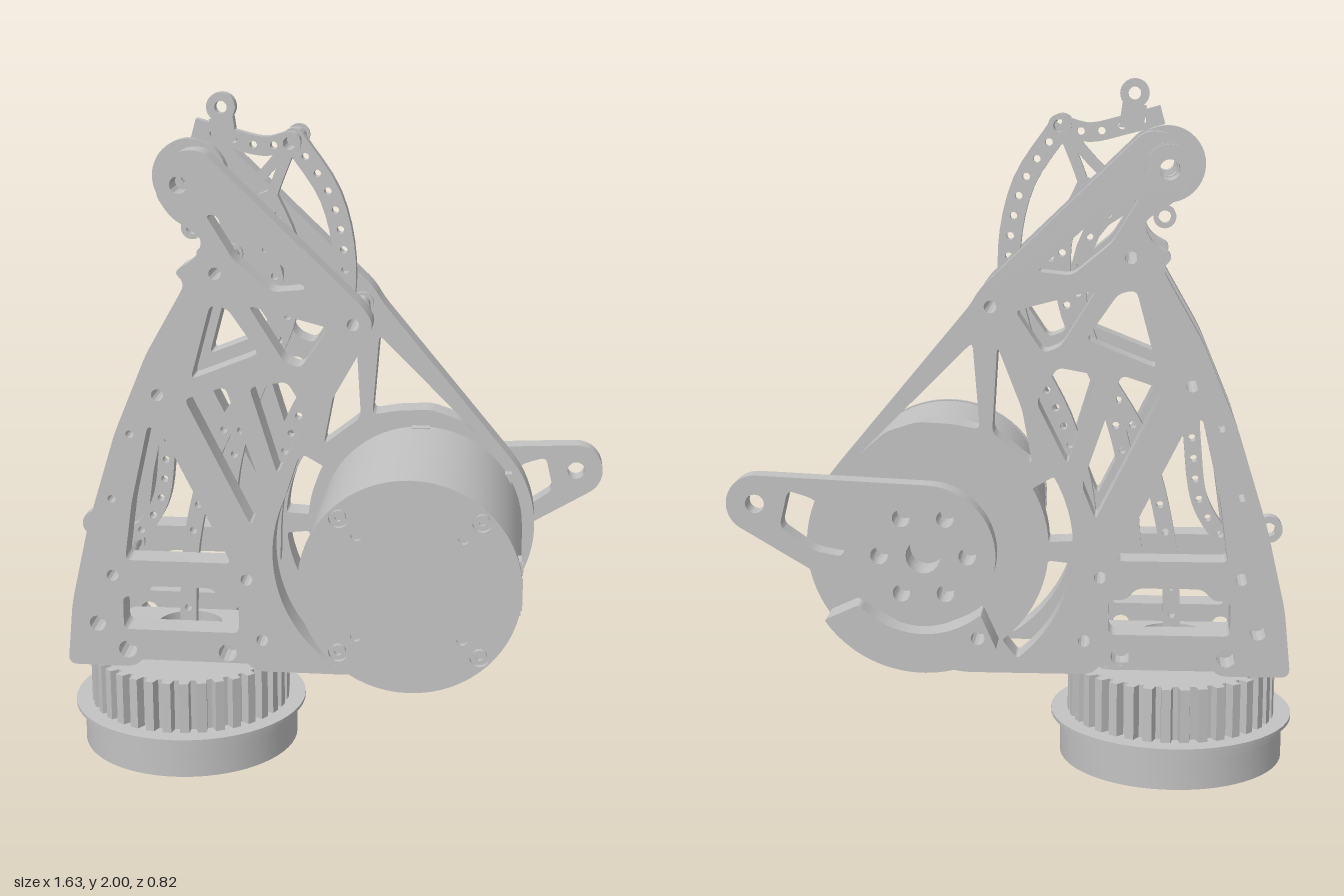
import * as THREE from 'three';
import { toCreasedNormals } from 'three/addons/utils/BufferGeometryUtils.js';

const metal = new THREE.MeshStandardMaterial({ color: 0xc2c2c2 });
metal.name = 'machined grey';
const V = (x, y) => new THREE.Vector2(x, y);
const rad = Math.PI / 180;

// Points along an arc, angles in degrees
function arc(cx, cy, r, a0, a1, n = 14) {
  return Array.from({ length: n + 1 }, (_, i) => {
    const a = (a0 + (a1 - a0) * i / n) * rad;
    return [cx + r * Math.cos(a), cy + r * Math.sin(a)];
  });
}
const arcSlot = (cx, cy, r1, r2, a0, a1) => [...arc(cx, cy, r2, a0, a1), ...arc(cx, cy, r1, a1, a0)];

// Closed polygon with rounded corners, always counter-clockwise
function rounded(pts, r = 0.02, path = new THREE.Path()) {
  const n = pts.length, p = pts.map(q => V(...q));
  if (THREE.ShapeUtils.isClockWise(p)) p.reverse();
  p.forEach((c, i) => {
    const a = p[(i + n - 1) % n], b = p[(i + 1) % n];
    const toward = q => c.clone().add(q.clone().sub(c).setLength(Math.min(r, q.distanceTo(c) * 0.45)));
    const s = toward(a), e = toward(b);
    if (i) path.lineTo(s.x, s.y); else path.moveTo(s.x, s.y);
    path.quadraticCurveTo(c.x, c.y, e.x, e.y);
  });
  path.closePath();
  return path;
}
const outline = (pts, r) => rounded(pts, r, new THREE.Shape());
const circle = (x, y, r, Type = THREE.Path) => new Type().absarc(x, y, r, 0, Math.PI * 2);

function slabGeometry(shape, z0, z1, holes = [], seg = 6) {
  shape.holes.push(...holes);
  const g = new THREE.ExtrudeGeometry(shape, { depth: z1 - z0, bevelEnabled: false, curveSegments: seg });
  return toCreasedNormals(g.translate(0, 0, z0), 0.5);
}

export function createModel() {
  const model = new THREE.Group();
  model.name = 'actuatorAssembly';
  const add = (name, geo, parent = model) => {
    const m = new THREE.Mesh(geo, metal);
    m.name = name;
    parent.add(m);
  };
  const slab = (name, shape, z0, z1, holes, seg) => add(name, slabGeometry(shape, z0, z1, holes, seg));
  const ring = (name, x, y, r, inner, z0, z1, seg = 14) =>
    slab(name, circle(x, y, r, THREE.Shape), z0, z1, inner ? [circle(x, y, inner)] : [], seg);

  const MX = 0.253, MY = 0.675;
  const pins = [[-0.5, 1.15], [-0.325, 1.51], [0.07, 1.37], [-0.65, 0.59], [-0.245, 0.59], [-0.2, 0.4]];

  // Side plates share the curved left edge, the hooked top and the truss windows
  const leftEdge = [
    [-0.22, 0.30], [-0.25, 0.33], [-0.56, 0.33], [-0.59, 0.30], [-0.795, 0.30], [-0.775, 0.5],
    [-0.72, 0.74], [-0.63, 1.03], [-0.53, 1.27], [-0.41, 1.48], [-0.445, 1.515], [-0.38, 1.55],
    [-0.355, 1.61], [-0.45, 1.67], [-0.495, 1.74], [-0.43, 1.855], [-0.36, 1.86], [0.10, 1.42]];
  const windows = [
    [[-0.35, 1.68], [-0.28, 1.67], [-0.06, 1.47], [-0.16, 1.46], [-0.27, 1.55]],
    [[-0.34, 1.42], [-0.29, 1.41], [-0.20, 1.28], [-0.40, 1.20]],
    [[-0.23, 1.42], [0.0, 1.36], [-0.08, 1.24], [-0.13, 1.26]],
    [[-0.53, 1.06], [-0.48, 1.02], [-0.29, 0.64], [-0.61, 0.64], [-0.585, 0.82]],
    [[-0.42, 1.14], [-0.30, 1.18], [-0.19, 0.86], [-0.23, 0.76]],
    [[-0.23, 1.18], [-0.12, 1.20], [-0.06, 1.10], [-0.15, 0.92]],
    [[-0.62, 0.525], [-0.57, 0.525], [-0.54, 0.56], [-0.35, 0.56], [-0.32, 0.525], [-0.27, 0.525],
      [-0.27, 0.42], [-0.62, 0.42]]];
  const boltHoles = [[-0.7, 0.435, 0.025], [-0.61, 0.355, 0.028], [-0.305, 0.355, 0.028], [-0.425, 1.76, 0.025],
    [-0.585, 1.03, 0.012], [-0.645, 0.83, 0.012], ...pins.map(p => [...p, 0.018])];
  const plateHoles = () => [...windows.map(w => rounded(w)), ...boltHoles.map(h => circle(...h))];

  slab('frontPlate', outline([...leftEdge, [0.13, 1.37], [0.10, 1.31], [-0.09, 0.97],
    ...arc(MX, MY, 0.42, 155, 238), [0.08, 0.325], [0.07, 0.30]], 0.03), 0.07, 0.16, plateHoles());
  slab('backPlate', outline([...leftEdge, [0.13, 1.37], [0.52, 0.90],
    ...arc(MX, MY, 0.35, 32, -85, 24), [0.20, 0.31], [0.15, 0.30]], 0.03), -0.26, -0.17, [
    ...plateHoles(),
    rounded([[0.12, 1.27], [0.10, 1.02], [0.18, 1.035], [0.28, 1.04], [0.37, 1.01], [0.45, 0.94]]),
    rounded([[0.05, 1.26], [0.065, 1.01], [-0.05, 0.92], [-0.02, 1.08]]),
    rounded(arcSlot(MX, MY, 0.35, 0.42, 150, 177), 0.01),
    rounded(arcSlot(MX, MY, 0.35, 0.42, 186, 232), 0.01)]);

  // Flanged spacers between the plates
  const spacer = (name, x, y, z0, z1) => {
    ring(name, x, y, 0.024, 0.018, z0, z1);
    for (const z of [z0, -0.062, z1 - 0.015]) ring(name + 'Collar', x, y, 0.033, 0.018, z, z + (z === -0.062 ? 0.04 : 0.015));
  };
  pins.forEach(p => spacer('spacer', ...p, -0.17, 0.07));
  spacer('topSpacer', -0.12, 1.87, -0.165, 0.075);

  // Curved centre linkage made of perforated strips
  const C0 = -0.062, C1 = -0.022;
  const strip = (name, pts, width, holes = 0) => {
    const curve = new THREE.CatmullRomCurve3(pts.map(p => new THREE.Vector3(p[0], p[1], 0)));
    const sides = [[], []];
    for (let i = 0; i <= 28; i++) {
      const p = curve.getPointAt(i / 28), t = curve.getTangentAt(i / 28);
      [1, -1].forEach((s, k) => sides[k].push(V(p.x - s * t.y * width / 2, p.y + s * t.x * width / 2)));
    }
    const cut = Array.from({ length: holes }, (_, i) => {
      const p = curve.getPointAt((i + 1) / (holes + 1));
      return circle(p.x, p.y, 0.011);
    });
    slab(name, new THREE.Shape([...sides[1], ...sides[0].reverse()]), C0, C1, cut);
  };
  strip('outerSector', [[-0.12, 1.87], [-0.01, 1.7], [0.03, 1.48], [-0.01, 1.25], [-0.13, 1.0], [-0.19, 0.78],
    [-0.20, 0.59]], 0.065, 22);
  strip('innerSector', [[-0.33, 1.66], [-0.22, 1.58], [-0.17, 1.4], [-0.22, 1.2], [-0.36, 0.95], [-0.44, 0.65],
    [-0.46, 0.34]], 0.05, 16);
  strip('middleSector', [[-0.2, 1.72], [-0.13, 1.55], [-0.14, 1.35], [-0.25, 1.1], [-0.31, 0.9], [-0.34, 0.62]], 0.05, 14);
  strip('lowerLink', [[-0.71, 0.69], [-0.62, 0.66], [-0.54, 0.76], [-0.51, 0.95], [-0.5, 1.15]], 0.05, 9);
  strip('topLink', [[-0.41, 1.90], [-0.30, 1.87], [-0.2, 1.85], [-0.12, 1.87]], 0.055, 4);
  strip('topSpoke', [[-0.12, 1.87], [-0.25, 1.73], [-0.36, 1.66]], 0.03);
  strip('sectorSpoke', [[-0.12, 1.87], [-0.18, 1.72], [-0.22, 1.58]], 0.03);
  strip('topLugNeck', [[-0.33, 1.93], [-0.32, 1.86]], 0.07);
  ring('topLug', -0.33, 1.96, 0.042, 0.018, C0, C1);
  ring('sideLug', -0.74, 0.69, 0.04, 0.02, C0, C1);
  ring('hookLug', -0.42, 1.61, 0.033, 0.018, C0, C1);
  ring('pivotDisc', -0.425, 1.76, 0.11, 0.025, C0, C1, 20);

  // Stub roller on the back of the top pivot
  ring('rollerCore', -0.425, 1.76, 0.062, 0.028, -0.40, -0.26);
  ring('rollerOuterCollar', -0.425, 1.76, 0.068, 0.028, -0.414, -0.385);
  ring('rollerInnerCollar', -0.425, 1.76, 0.068, 0.028, -0.295, -0.27);

  // Motor with face plate, screws and side connector
  ring('motorBody', MX, MY, 0.312, 0, -0.17, 0.395, 32);
  const screws = [], small = [];
  for (const sx of [-1, 1]) for (const sy of [-1, 1]) {
    screws.push([MX + sx * 0.2, MY + sy * 0.2]);
    small.push([MX + sx * 0.15, MY + sy * 0.15]);
  }
  slab('motorFace', circle(MX, MY, 0.316, THREE.Shape), 0.395, 0.41,
    [...screws.map(p => circle(...p, 0.028)), ...small.map(p => circle(...p, 0.015))], 32);
  screws.forEach(p => ring('motorScrew', ...p, 0.021, 0.01, 0.39, 0.407));
  const box = (name, w, h, d, x, y, z) => add(name, new THREE.BoxGeometry(w, h, d).translate(x, y, z));
  box('connector', 0.03, 0.16, 0.055, 0.55, 0.68, 0.367);
  for (const y of [0.625, 0.68, 0.73]) box('connectorSocket', 0.006, 0.03, 0.03, 0.566, y, 0.367);
  for (const y of [0.52, 0.83]) box('sideClip', 0.03, 0.045, 0.035, 0.515, y, -0.15);
  box('topClip', 0.055, 0.02, 0.03, 0.25, 0.98, -0.155);

  // Output hub, crank arm and stop crescent
  const hubHoles = () => [circle(MX, MY, 0.05), ...arc(MX, MY, 0.125, 0, 300, 5).map(p => circle(...p, 0.025))];
  slab('outputHub', circle(MX, MY, 0.195, THREE.Shape), -0.31, -0.26, hubHoles(), 24);
  slab('crankArm', outline([...arc(MX, MY, 0.205, 90, 290, 28), ...arc(0.73, 0.82, 0.082, -65, 92, 14)], 0.01),
    -0.37, -0.305, [...hubHoles(), circle(0.73, 0.82, 0.027),
      rounded([[0.47, 0.77], [0.57, 0.84], [0.635, 0.86], [0.66, 0.755], [0.56, 0.685], [0.48, 0.67]])], 10);
  slab('stopCrescent', outline([...arc(MX, MY, 0.345, 233, 326, 20), ...arc(MX, MY + 0.02, 0.25, 318, 230, 20)], 0.01),
    -0.365, -0.26, [circle(0.10, 0.435, 0.02)]);

  // Toothed pulley base
  const pulley = new THREE.Group();
  pulley.name = 'pulleyBase';
  pulley.position.set(-0.457, 0, -0.05);
  model.add(pulley);
  const upright = (name, shape, y0, y1, holes, seg) =>
    add(name, slabGeometry(shape, y0, y1, holes, seg).rotateX(-Math.PI / 2), pulley);
  const teeth = [], N = 36;
  for (let i = 0; i < N; i++) {
    for (const [f, r] of [[0, 0.282], [0.3, 0.282], [0.38, 0.31], [0.88, 0.31]]) {
      const a = (i + f) / N * Math.PI * 2;
      teeth.push(V(r * Math.cos(a), r * Math.sin(a)));
    }
  }
  upright('pulleyTeeth', new THREE.Shape(teeth), 0.12, 0.29, [circle(0, 0, 0.255)], 24);
  const slots = Array.from({ length: 10 }, (_, i) => rounded(arcSlot(0, 0, 0.282, 0.312, i * 36, i * 36 + 24), 0.008));
  upright('pulleySkirt', circle(0, 0, 0.333, THREE.Shape), 0, 0.10, [circle(0, 0, 0.265), ...slots], 32);
  const lathe = (name, pts) => add(name,
    toCreasedNormals(new THREE.LatheGeometry(pts.map(p => V(...p)), 56), 0.5), pulley);
  lathe('pulleyFlange', [[0.255, 0.095], [0.34, 0.095], [0.34, 0.122], [0.36, 0.122], [0.36, 0.132],
    [0.255, 0.132], [0.255, 0.095]]);
  lathe('pulleyHub', [[0.10, 0.09], [0.14, 0.09], [0.14, 0.24], [0.262, 0.24], [0.262, 0.285], [0.10, 0.285], [0.10, 0.09]]);

  // Mounting block joining the pulley to the plates
  const block = outline([[-0.21, -0.12], [0.21, -0.12], [0.21, 0.12], [-0.21, 0.12]], 0.03);
  upright('mountBlock', block, 0.28, 0.365, [circle(0, 0, 0.10)], 16);

  return model;
}
